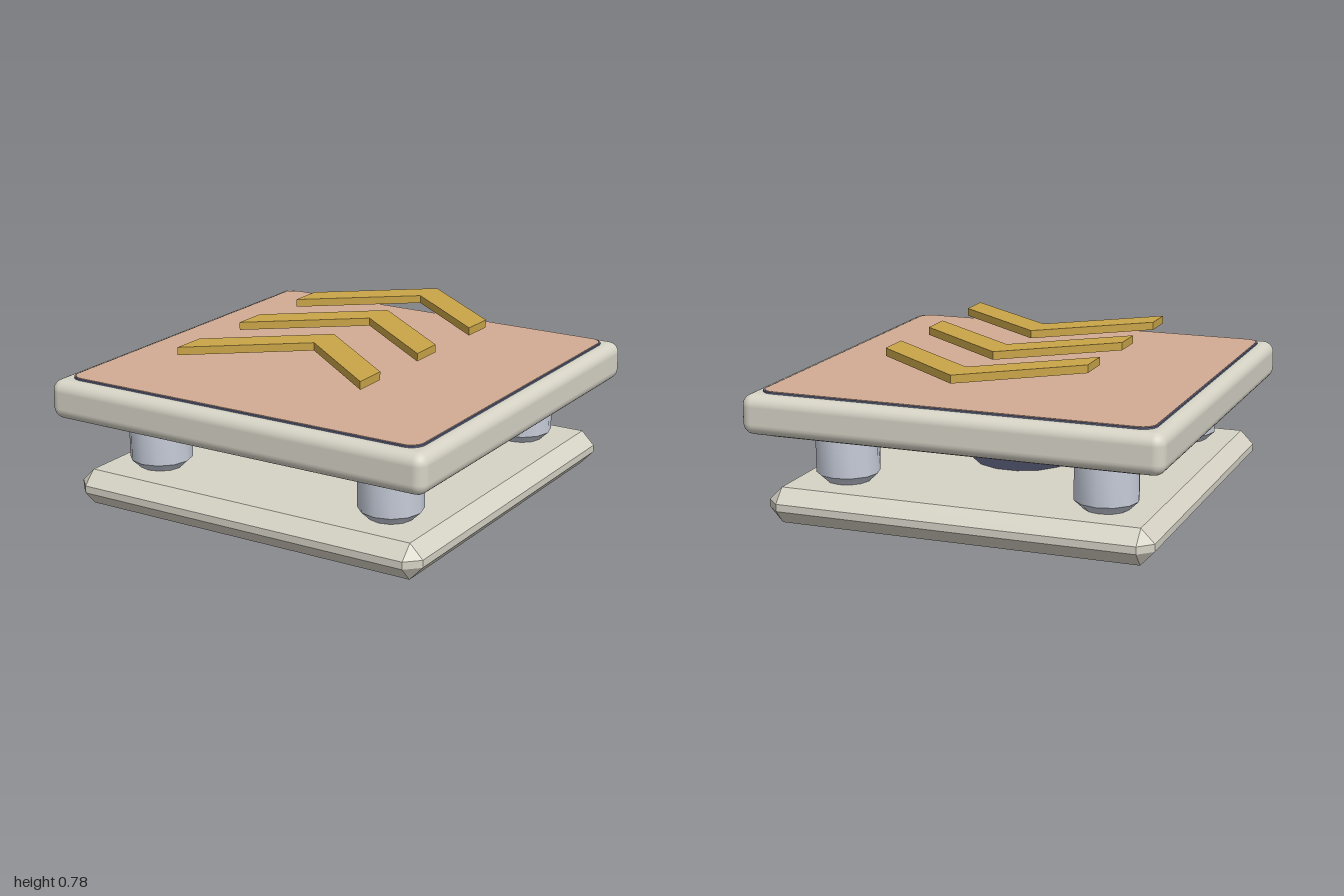
import * as THREE from 'three';
import { RoundedBoxGeometry } from 'three/addons/geometries/RoundedBoxGeometry.js';
import { ConvexGeometry } from 'three/addons/geometries/ConvexGeometry.js';
import { toCreasedNormals } from 'three/addons/utils/BufferGeometryUtils.js';

const material = (name, color) => Object.assign(new THREE.MeshStandardMaterial({ color }), { name });

// Square with rounded corners
function roundedSquare(h, r) {
  const s = new THREE.Shape();
  for (let i = 0; i < 4; i++) {
    const cx = (i === 0 || i === 3 ? 1 : -1) * (h - r);
    const cy = (i < 2 ? 1 : -1) * (h - r);
    s.absarc(cx, cy, r, i * Math.PI / 2, (i + 1) * Math.PI / 2, false);
  }
  s.closePath();
  return s;
}

// Horizontal plate between heights y0 and y1; shape y points to -z
function plate(shape, y0, y1) {
  const g = new THREE.ExtrudeGeometry(shape, { depth: y1 - y0, bevelEnabled: false, curveSegments: 6 });
  return g.rotateX(-Math.PI / 2).translate(0, y0, 0);
}

// Turned solid from [radius, height] points
function turned(points, sides) {
  const g = new THREE.LatheGeometry(points.map(([r, y]) => new THREE.Vector2(r, y)), sides);
  return toCreasedNormals(g.rotateY(Math.PI / 2), 0.6);
}

export function createModel() {
  const model = new THREE.Group();
  model.name = 'jumpPad';
  const cream = material('cream', 0xd6d3c6);
  const salmon = material('salmon', 0xd3ac94);
  const gold = material('gold', 0xcaa548);
  const steel = material('steel', 0xc6ccd9);
  const slate = material('slateBlue', 0x7c80a6);
  const trim = material('trimBlue', 0x5f6688);

  function add(name, geometry, mat, x = 0, y = 0, z = 0) {
    const mesh = new THREE.Mesh(geometry, mat);
    mesh.name = name;
    mesh.position.set(x, y, z);
    model.add(mesh);
  }

  // Base slab, chamfered along every edge and corner
  const corners = [];
  const [inner, outer] = [0.865, 0.93];
  for (const sx of [-1, 1]) for (const sz of [-1, 1]) {
    for (const [face, side] of [[0, 0.07], [0.17, 0.105]]) {
      corners.push(
        new THREE.Vector3(sx * inner, face, sz * inner),
        new THREE.Vector3(sx * outer, side, sz * inner),
        new THREE.Vector3(sx * inner, side, sz * outer));
    }
  }
  add('base', new ConvexGeometry(corners), cream);

  // Central spring hub
  add('hub', turned([[0.2, 0.14], [0.24, 0.17], [0.347, 0.27], [0.347, 0.33], [0.245, 0.43], [0.23, 0.45]], 14), slate);

  // Four corner columns with tapered feet
  const column = turned([[0.1, 0.16], [0.105, 0.17], [0.15, 0.212], [0.15, 0.46]], 12);
  for (const x of [-0.635, 0.635]) for (const z of [-0.635, 0.635]) add('column', column, steel, x, 0, z);

  // Platform with inlaid panels above and below
  add('platform', new RoundedBoxGeometry(2, 0.19, 2, 4, 0.055), cream, 0, 0.532, 0);
  add('panelTrim', plate(roundedSquare(0.935, 0.07), 0.431, 0.634), trim);
  const panel = roundedSquare(0.928, 0.065);
  add('topPanel', plate(panel, 0.63, 0.637), salmon);
  add('bottomPanel', plate(panel, 0.428, 0.435), salmon);

  // Floating chevrons pointing to the back
  const chevron = new THREE.Shape([[0, 0], [-0.495, -0.4], [-0.495, -0.57], [0, -0.173], [0.495, -0.57], [0.495, -0.4]]
    .map(([x, y]) => new THREE.Vector2(x, y)));
  const chevronGeometry = plate(chevron, 0.742, 0.78);
  for (const z of [-0.9, -0.4, 0.1]) add('chevron', chevronGeometry, gold, 0, 0, z);

  return model;
}
